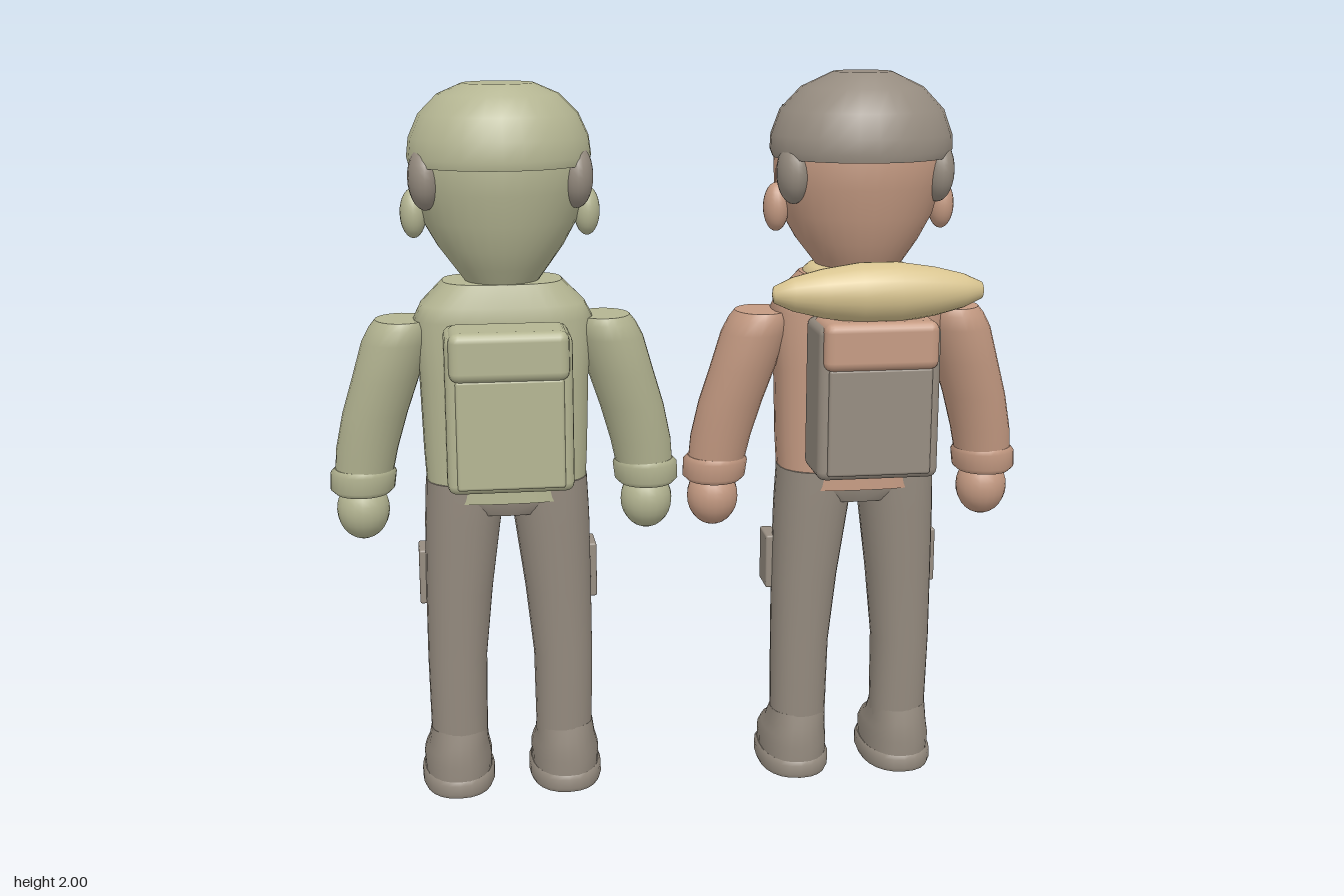
import * as THREE from 'three';
import { RoundedBoxGeometry } from 'three/addons/geometries/RoundedBoxGeometry.js';

const mat = (name, color) => {
  const m = new THREE.MeshStandardMaterial({ color });
  m.name = name;
  return m;
};
const M = {
  green: mat('sage green', 0xb4b592),
  brown: mat('clay brown', 0xc49a82),
  grey: mat('warm grey', 0x968c80),
  sand: mat('sand yellow', 0xd8c490),
  pale: mat('pale shirt', 0xbdb9ad),
  white: mat('eye white', 0xdfddcf),
  dark: mat('dark', 0x4c4842),
};

// Closed body through horizontal superellipse rings [y, cx, cz, rx, rz], bottom to top
function loft(rings, power = 2, n = 24) {
  const pos = [], idx = [];
  const addRing = ([y, cx, cz, rx, rz]) => {
    const start = pos.length / 3;
    for (let i = 0; i < n; i++) {
      const t = (i / n) * Math.PI * 2, c = Math.cos(t), s = Math.sin(t);
      pos.push(cx + rx * Math.sign(c) * Math.abs(c) ** (2 / power), y,
        cz + rz * Math.sign(s) * Math.abs(s) ** (2 / power));
    }
    return start;
  };
  const starts = rings.map(addRing);
  for (let r = 0; r + 1 < rings.length; r++) {
    for (let i = 0; i < n; i++) {
      const j = (i + 1) % n, a = starts[r], b = starts[r + 1];
      idx.push(a + i, b + i, a + j, b + i, b + j, a + j);
    }
  }
  // end caps with their own vertices, so the rims stay sharp
  for (const [ring, up] of [[rings[0], false], [rings[rings.length - 1], true]]) {
    const s = addRing(ring), c = pos.length / 3;
    pos.push(ring[1], ring[0], ring[2]);
    for (let i = 0; i < n; i++) {
      const j = (i + 1) % n;
      if (up) idx.push(c, s + j, s + i);
      else idx.push(c, s + i, s + j);
    }
  }
  const g = new THREE.BufferGeometry();
  g.setAttribute('position', new THREE.Float32BufferAttribute(pos, 3));
  g.setIndex(idx);
  g.computeVertexNormals();
  return g;
}

function add(parent, name, geo, material, x = 0, y = 0, z = 0) {
  const m = new THREE.Mesh(geo, material);
  m.name = name;
  m.position.set(x, y, z);
  parent.add(m);
  return m;
}
const box = (w, h, d, r = 0.01) => new RoundedBoxGeometry(w, h, d, 2, r);
const ball = (rx, ry, rz) => new THREE.SphereGeometry(1, 20, 14).scale(rx, ry, rz);

function buildBody(g, c) {
  add(g, 'jacket', loft([
    [0.87, 0, 0.035, 0.215, 0.13], [1.0, 0, 0.03, 0.222, 0.132], [1.2, 0, 0.03, 0.228, 0.133],
    [1.36, 0, 0.03, 0.24, 0.13], [1.4, 0, 0.03, 0.22, 0.125], [1.46, 0, 0.025, 0.16, 0.11]], 2.8, 32), c.jacket);
  add(g, 'hips', loft([
    [0.83, 0, 0.04, 0.12, 0.1], [0.87, 0, 0.04, 0.2, 0.118], [0.92, 0, 0.04, 0.21, 0.12]], 2.6), M.grey);

  // open jacket front with lapels
  add(g, 'shirt', new THREE.BoxGeometry(0.09, 0.53, 0.009), c.shirt, 0, 1.145, -0.106);
  for (const s of [-1, 1]) {
    const tri = new THREE.Shape([[0.02, 1.43], [0.1, 1.42], [0.085, 1.34], [0.035, 1.27]]
      .map(([x, y]) => new THREE.Vector2(s * x, y)));
    add(g, 'lapel', new THREE.ExtrudeGeometry(tri, { depth: 0.014, bevelEnabled: false }), c.jacket, 0, 0, -0.12);
    add(g, 'packStrap', box(0.03, 0.31, 0.03, 0.006), c.strap, s * 0.135, 1.265, -0.092);
    add(g, 'strapBuckle', box(0.042, 0.035, 0.02, 0.005), M.grey, s * 0.135, 1.16, -0.104);
    add(g, 'chestPouch', box(0.085, 0.11, 0.04), c.jacket, s * 0.125, 1.035, -0.1);
    add(g, 'pouchFlap', box(0.095, 0.035, 0.05, 0.008), c.jacket, s * 0.125, 1.08, -0.1);

    // arms
    add(g, 'sleeve', loft([
      [0.9, s * 0.39, -0.01, 0.077, 0.078], [1.0, s * 0.375, 0, 0.084, 0.083], [1.1, s * 0.35, 0.012, 0.088, 0.088],
      [1.2, s * 0.318, 0.025, 0.09, 0.094], [1.3, s * 0.288, 0.034, 0.091, 0.1], [1.34, s * 0.275, 0.035, 0.083, 0.095],
      [1.36, s * 0.27, 0.035, 0.072, 0.085]]), c.jacket);
    add(g, 'cuff', loft([
      [0.872, s * 0.392, -0.012, 0.074, 0.078], [0.885, s * 0.392, -0.012, 0.088, 0.088],
      [0.93, s * 0.388, -0.01, 0.09, 0.09], [0.943, s * 0.386, -0.008, 0.08, 0.082]]), c.jacket);
    add(g, 'hand', ball(0.072, 0.084, 0.072), c.skin, s * 0.393, 0.82, -0.025);
    add(g, 'thumb', ball(0.026, 0.05, 0.026), c.skin, s * 0.375, 0.83, -0.088);

    // legs and shoes
    add(g, 'trouserLeg', loft([
      [0.12, s * 0.148, 0.022, 0.078, 0.08], [0.4, s * 0.148, 0.03, 0.082, 0.09],
      [0.6, s * 0.137, 0.03, 0.092, 0.102], [0.8, s * 0.122, 0.036, 0.104, 0.115],
      [0.92, s * 0.112, 0.04, 0.108, 0.118]], 2.2), M.grey);
    add(g, 'legPocket', box(0.035, 0.155, 0.1, 0.006), M.grey, s * 0.229, 0.63, -0.02);
    add(g, 'shoe', loft([
      [0.045, s * 0.153, -0.035, 0.094, 0.15], [0.09, s * 0.153, -0.035, 0.096, 0.152],
      [0.118, s * 0.152, -0.022, 0.09, 0.137], [0.145, s * 0.151, 0.005, 0.084, 0.108],
      [0.19, s * 0.149, 0.022, 0.079, 0.083]], 2.3), M.grey);
    add(g, 'sole', loft([
      [0, s * 0.153, -0.04, 0.098, 0.156], [0.012, s * 0.153, -0.04, 0.103, 0.162],
      [0.038, s * 0.153, -0.04, 0.103, 0.162], [0.05, s * 0.153, -0.04, 0.096, 0.154]], 2.3), M.grey);
  }
}

function buildHead(g, c) {
  add(g, 'head', loft([
    [1.44, 0, 0.03, 0.085, 0.09], [1.5, 0, 0.02, 0.13, 0.135], [1.55, 0, 0.005, 0.168, 0.175],
    [1.62, 0, -0.002, 0.208, 0.205], [1.7, 0, 0.005, 0.228, 0.214], [1.79, 0, 0.025, 0.235, 0.207],
    [1.88, 0, 0.035, 0.19, 0.17]], 2, 32), c.skin);
  add(g, 'nose', ball(0.026, 0.026, 0.026), c.skin, 0, 1.61, -0.212);
  for (const s of [-1, 1]) {
    add(g, 'ear', ball(0.035, 0.066, 0.042), c.skin, s * 0.23, 1.64, 0.028);
    add(g, 'sideHair', ball(0.045, 0.085, 0.068), M.grey, s * 0.197, 1.74, 0.098);
    add(g, 'eye', ball(0.031, 0.031, 0.027), M.white, s * 0.092, 1.665, -0.203);
    add(g, 'pupil', ball(0.012, 0.012, 0.006), M.dark, s * 0.094, 1.665, -0.228);
  }
}

function buildBackpack(g, c) {
  add(g, 'backpack', box(0.33, 0.42, 0.19, 0.025), c.pack, 0, 1.15, 0.227);
  add(g, 'packPanel', box(0.28, 0.29, 0.02, 0.008), c.pack, 0, 1.1, 0.32);
  add(g, 'packFlap', box(0.31, 0.13, 0.17, 0.025), c.jacket, 0, 1.305, 0.258);
}

function buildCap(g) {
  add(g, 'capDome', loft([
    [1.768, 0, 0.035, 0.238, 0.21], [1.79, 0, 0.035, 0.243, 0.215], [1.84, 0, 0.035, 0.237, 0.21],
    [1.9, 0, 0.035, 0.21, 0.187], [1.95, 0, 0.035, 0.16, 0.145], [1.978, 0, 0.035, 0.095, 0.088]], 2, 28), M.green);
  add(g, 'capBrim', loft([
    [1.768, 0, -0.19, 0.212, 0.155], [1.778, 0, -0.19, 0.222, 0.165], [1.792, 0, -0.185, 0.2, 0.148]], 2.2, 32), M.green);
}

function buildBeanie(g) {
  add(g, 'beanie', loft([
    [1.775, 0, 0.036, 0.24, 0.214], [1.795, 0, 0.036, 0.248, 0.218], [1.835, 0, 0.036, 0.246, 0.217],
    [1.9, 0, 0.036, 0.222, 0.197], [1.96, 0, 0.036, 0.165, 0.15], [2.0, 0, 0.036, 0.08, 0.075]], 2, 28), M.grey);
  // knitted ribs around the front
  for (let i = 0; i < 10; i++) {
    const a = (i - 4.5) * 0.24;
    const rib = add(g, 'beanieRib', new THREE.BoxGeometry(0.009, 0.095, 0.014), M.dark,
      Math.sin(a) * 0.232, 1.86, 0.036 - Math.cos(a) * 0.206);
    rib.rotation.set(0.3, -a, 0, 'YXZ');
  }
}

// Scarf with a hanging tail, and the bedroll on top of the pack
function buildScarfAndRoll(g) {
  const ring = add(g, 'scarf', new THREE.TorusGeometry(0.115, 0.038, 12, 32), M.sand, 0, 1.445, 0.018);
  ring.rotation.x = Math.PI / 2;
  add(g, 'scarfKnot', box(0.06, 0.05, 0.045, 0.012), M.sand, 0.045, 1.425, -0.132);
  add(g, 'scarfTail', box(0.05, 0.13, 0.022, 0.008), M.sand, 0.05, 1.34, -0.14);
  const profile = [[0, -0.285], [0.022, -0.28], [0.045, -0.23], [0.065, -0.15], [0.08, -0.05],
    [0.08, 0.05], [0.065, 0.15], [0.045, 0.23], [0.022, 0.28], [0, 0.285]].map(([r, y]) => new THREE.Vector2(r, y));
  const roll = add(g, 'bedroll', new THREE.LatheGeometry(profile, 24), M.sand, 0, 1.44, 0.27);
  roll.rotation.z = Math.PI / 2;
}

export function createModel() {
  const model = new THREE.Group();
  model.name = 'twoHikers';
  const hikers = [
    { name: 'cappedHiker', x: -0.49, c: { skin: M.green, jacket: M.green, shirt: M.pale, strap: M.brown, pack: M.green }, extras: [buildCap] },
    { name: 'beanieHiker', x: 0.485, c: { skin: M.brown, jacket: M.brown, shirt: M.grey, strap: M.grey, pack: M.grey }, extras: [buildBeanie, buildScarfAndRoll] },
  ];
  for (const { name, x, c, extras } of hikers) {
    const g = new THREE.Group();
    g.name = name;
    g.position.x = x;
    for (const build of [buildBody, buildHead, buildBackpack, ...extras]) build(g, c);
    model.add(g);
  }
  return model;
}
